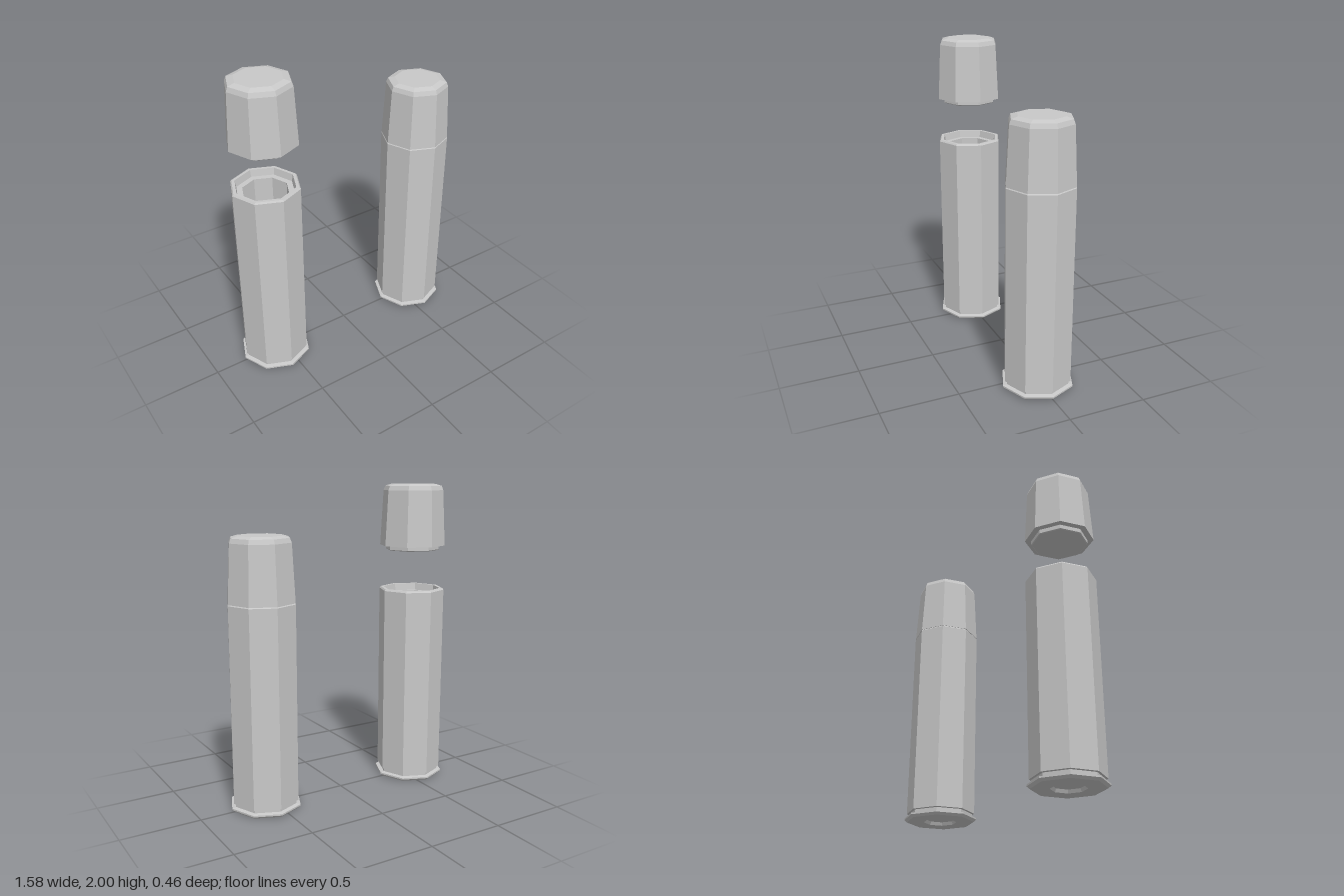
import * as THREE from 'three';

const metal = new THREE.MeshStandardMaterial({ color: 0xc8c8c8, flatShading: true });
metal.name = 'grey metal';

// Eight-sided turned part from a profile of [radius, height], traced bottom to top
function turned(name, profile) {
  const points = profile.map(([r, y]) => new THREE.Vector2(r, y));
  const mesh = new THREE.Mesh(new THREE.LatheGeometry(points, 8), metal);
  mesh.name = name;
  return mesh;
}

// Hollow case: primer pocket, rim, extractor groove, wall, stepped mouth
function makeCase() {
  return turned('case', [
    [0, 0.02], [0.095, 0.02], [0.105, 0],
    [0.215, 0], [0.232, 0.015], [0.232, 0.025], [0.205, 0.03],
    [0.205, 0.05], [0.218, 0.053],
    [0.218, 1.305], [0.21, 1.315],
    [0.19, 1.315], [0.182, 1.27], [0.145, 1.27],
    [0.14, 0.08], [0, 0.08],
  ]);
}

// Blunt tapered head with a short plug that fits the mouth
function makeHead() {
  return turned('head', [
    [0, -0.03], [0.172, -0.03], [0.178, -0.025], [0.178, 0],
    [0.217, 0], [0.198, 0.36], [0.187, 0.388], [0.145, 0.4], [0, 0.4],
  ]);
}

// One full round with its head at a given height
function makeRound(name, x, headY) {
  const round = new THREE.Group();
  round.name = name;
  const head = makeHead();
  head.position.y = headY;
  round.add(makeCase(), head);
  round.position.x = x;
  return round;
}

export function createModel() {
  const model = new THREE.Group();
  model.name = 'cartridges';
  model.add(makeRound('openRound', -0.56, 1.6), makeRound('closedRound', 0.56, 1.312));
  return model;
}
